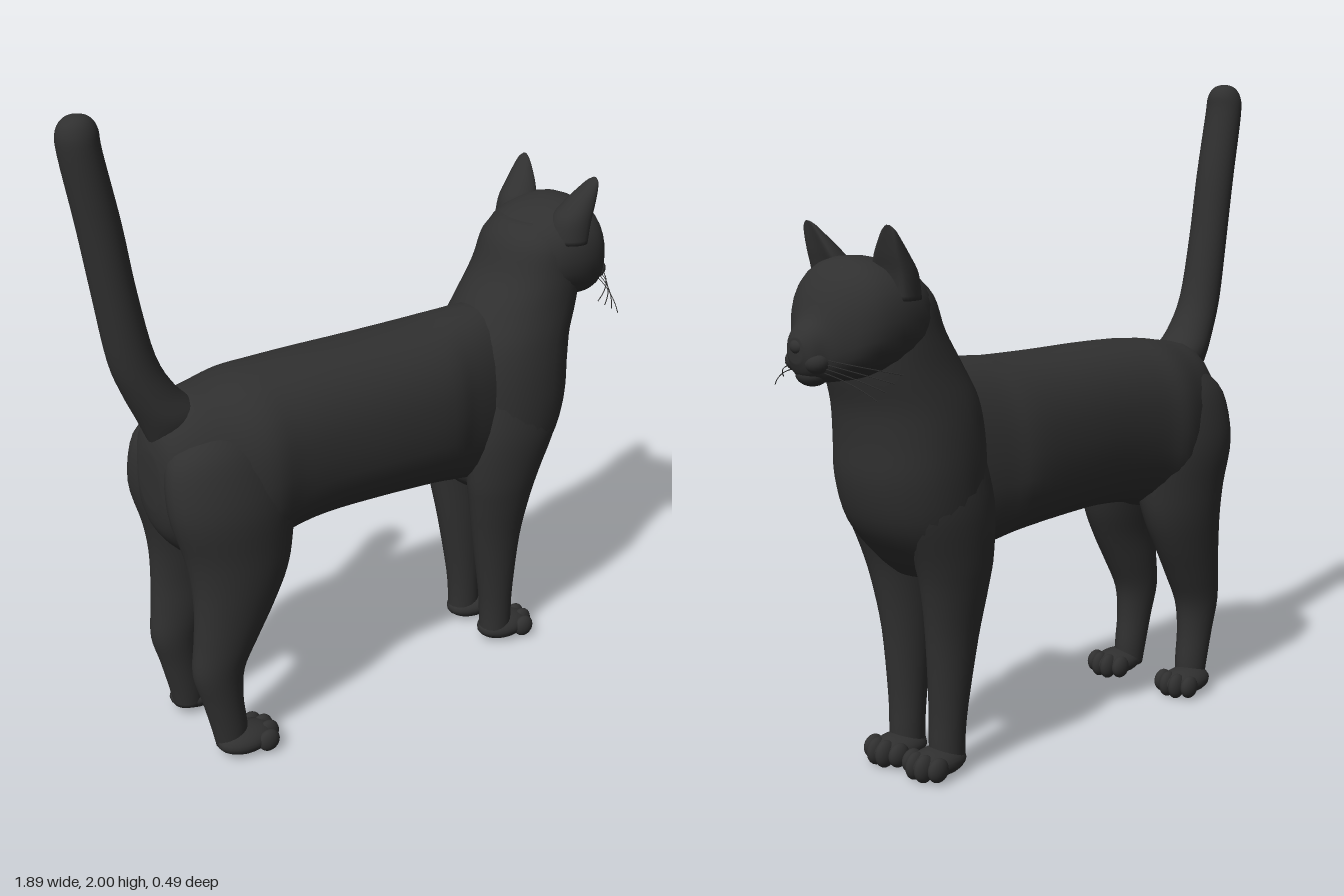
import * as THREE from 'three';

const fur = new THREE.MeshStandardMaterial({ color: 0x303030 });
fur.name = 'black fur';
const dark = new THREE.MeshStandardMaterial({ color: 0x242424 });
dark.name = 'dark eyes';

// smooth interpolation between the given cross-sections
function refine(rows, steps) {
  const out = [], last = rows.length - 1;
  for (let i = 0; i < last; i++) {
    const p = rows[Math.max(i - 1, 0)], a = rows[i], b = rows[i + 1], q = rows[Math.min(i + 2, last)];
    for (let s = 0; s < steps; s++) {
      const t = s / steps;
      out.push(a.map((v, k) => {
        const m0 = (b[k] - p[k]) / 2, m1 = (q[k] - v) / 2, d = b[k] - v;
        return v + m0 * t + (3 * d - 2 * m0 - m1) * t * t + (m0 + m1 - 2 * d) * t * t * t;
      }));
    }
  }
  out.push(rows[last]);
  return out;
}

// rows: [position on axis, min, max, centre z, half width]; axis 'x' spans y, axis 'y' spans x
function loft(name, axis, rows, { power = 2, dent = 0, sides = 28, steps = 4 } = {}) {
  const pos = [], idx = [], secs = refine(rows, steps);
  const round = v => Math.sign(v) * Math.abs(v) ** (2 / power);
  const put = (s, across, z) => (axis === 'x' ? pos.push(s, across, z) : pos.push(across, s, z));
  for (const [s, lo, hi, zc, hw] of secs) {
    for (let j = 0; j < sides; j++) {
      const a = j / sides * Math.PI * 2, c = round(Math.cos(a));
      const hollow = c > 0 ? dent * (hi - lo) * c * c : 0;
      put(s, (lo + hi) / 2 + c * (hi - lo) / 2 - hollow, zc + (axis === 'x' ? -1 : 1) * hw * round(Math.sin(a)));
    }
  }
  const n = secs.length;
  for (let i = 0; i < n - 1; i++) for (let j = 0; j < sides; j++) {
    const k = (j + 1) % sides, a = i * sides, b = a + sides;
    idx.push(a + j, b + j, a + k, a + k, b + j, b + k);
  }
  // end caps
  for (const [i, flip] of [[0, false], [n - 1, true]]) {
    const [s, lo, hi, zc] = secs[i], c = pos.length / 3;
    put(s, (lo + hi) / 2 - dent * (hi - lo) / 4, zc);
    for (let j = 0; j < sides; j++) {
      const a = i * sides + j, b = i * sides + (j + 1) % sides;
      flip ? idx.push(c, b, a) : idx.push(c, a, b);
    }
  }
  const g = new THREE.BufferGeometry();
  g.setAttribute('position', new THREE.Float32BufferAttribute(pos, 3));
  g.setIndex(idx);
  g.computeVertexNormals();
  const m = new THREE.Mesh(g, fur);
  m.name = name;
  return m;
}

function ball(name, p, r, mat = fur) {
  const m = new THREE.Mesh(new THREE.SphereGeometry(1, 20, 14), mat);
  m.name = name;
  m.position.set(...p);
  m.scale.set(...r);
  return m;
}

// rounded foot with four toes
function paw(name, x, z, side) {
  const g = new THREE.Group();
  g.name = name;
  g.add(ball('footPad', [x, 0.043, z * side], [0.095, 0.043, 0.066]));
  for (let i = 0; i < 4; i++) {
    const u = i - 1.5, inner = Math.abs(u) < 1;
    g.add(ball('toe', [x + (inner ? 0.07 : 0.05), 0.041, (z + u * 0.037) * side], [0.036, inner ? 0.041 : 0.036, 0.022]));
  }
  return g;
}

export function createModel() {
  const cat = new THREE.Group();
  cat.name = 'cat';

  // torso from rump to shoulders
  cat.add(loft('torso', 'x', [
    [-0.742, 0.83, 1.0, 0, 0.06], [-0.72, 0.74, 1.08, 0, 0.12], [-0.65, 0.66, 1.15, 0, 0.17],
    [-0.55, 0.63, 1.17, 0, 0.212], [-0.45, 0.63, 1.185, 0, 0.238], [-0.35, 0.66, 1.19, 0, 0.225],
    [-0.2, 0.675, 1.192, 0, 0.218], [0, 0.67, 1.19, 0, 0.218], [0.2, 0.655, 1.192, 0, 0.213],
    [0.3, 0.635, 1.2, 0, 0.188], [0.4, 0.62, 1.205, 0, 0.165], [0.5, 0.66, 1.2, 0, 0.14]], { power: 2.3 }));

  // chest rising into the neck
  cat.add(loft('chestAndNeck', 'y', [
    [0.59, 0.38, 0.56, 0, 0.1], [0.64, 0.345, 0.61, 0, 0.17], [0.75, 0.33, 0.70, 0, 0.205],
    [0.88, 0.325, 0.742, 0, 0.217], [1.0, 0.33, 0.747, 0, 0.215], [1.1, 0.35, 0.757, 0, 0.205],
    [1.2, 0.405, 0.785, 0, 0.19], [1.3, 0.47, 0.79, 0, 0.18], [1.4, 0.51, 0.78, 0, 0.165],
    [1.46, 0.56, 0.74, 0, 0.11]], { power: 2.15 }));

  // head tapering to the muzzle
  cat.add(loft('head', 'x', [
    [0.53, 1.32, 1.41, 0, 0.05], [0.56, 1.25, 1.455, 0, 0.13], [0.62, 1.2, 1.49, 0, 0.178],
    [0.7, 1.185, 1.512, 0, 0.195], [0.77, 1.18, 1.51, 0, 0.187], [0.82, 1.18, 1.482, 0, 0.16],
    [0.86, 1.18, 1.43, 0, 0.115], [0.89, 1.185, 1.365, 0, 0.078], [0.92, 1.205, 1.33, 0, 0.055],
    [0.936, 1.24, 1.305, 0, 0.03]], { power: 2.25 }));
  cat.add(ball('chin', [0.88, 1.205, 0], [0.042, 0.033, 0.05]));
  cat.add(ball('nose', [0.928, 1.283, 0], [0.017, 0.02, 0.025]));

  // upright tail with a rounded tip
  cat.add(loft('tail', 'y', [
    [1.0, -0.72, -0.58, 0, 0.05], [1.1, -0.762, -0.56, 0, 0.085], [1.19, -0.803, -0.645, 0, 0.075],
    [1.3, -0.842, -0.706, 0, 0.066], [1.5, -0.875, -0.752, 0, 0.063], [1.7, -0.907, -0.785, 0, 0.062],
    [1.9, -0.943, -0.826, 0, 0.06], [1.96, -0.943, -0.833, 0, 0.053], [1.99, -0.922, -0.852, 0, 0.034],
    [2.0, -0.895, -0.88, 0, 0.007]]));

  for (const s of [1, -1]) {
    const side = s > 0 ? 'left' : 'right';
    const legRows = rows => rows.map(([y, a, b, z, w]) => [y, a, b, z * s, w]);

    cat.add(loft(side + 'FrontLeg', 'y', legRows([
      [0.03, 0.43, 0.54, 0.087, 0.05], [0.1, 0.43, 0.54, 0.087, 0.052], [0.2, 0.42, 0.54, 0.089, 0.056],
      [0.4, 0.385, 0.555, 0.096, 0.067], [0.55, 0.357, 0.58, 0.108, 0.08], [0.65, 0.342, 0.61, 0.114, 0.09],
      [0.8, 0.34, 0.67, 0.116, 0.1], [0.95, 0.37, 0.68, 0.11, 0.09]])));
    cat.add(paw(side + 'FrontPaw', 0.52, 0.085, s));

    cat.add(loft(side + 'HindLeg', 'y', legRows([
      [0.03, -0.63, -0.53, 0.135, 0.045], [0.1, -0.645, -0.53, 0.134, 0.05], [0.2, -0.67, -0.54, 0.133, 0.054],
      [0.3, -0.697, -0.53, 0.132, 0.062], [0.4, -0.69, -0.48, 0.134, 0.073], [0.5, -0.684, -0.425, 0.136, 0.084],
      [0.6, -0.686, -0.378, 0.132, 0.1], [0.7, -0.703, -0.355, 0.126, 0.113], [0.85, -0.743, -0.345, 0.122, 0.122],
      [1.0, -0.73, -0.37, 0.1, 0.11], [1.08, -0.65, -0.43, 0.08, 0.08]])));
    cat.add(paw(side + 'HindPaw', -0.54, 0.15, s));

    // ear hollowed on its front face
    cat.add(loft(side + 'Ear', 'y', legRows([
      [1.4, 0.62, 0.77, 0.125, 0.072], [1.47, 0.635, 0.775, 0.13, 0.068], [1.52, 0.672, 0.775, 0.142, 0.054],
      [1.565, 0.712, 0.768, 0.157, 0.036], [1.59, 0.735, 0.762, 0.165, 0.022],
      [1.602, 0.75, 0.757, 0.168, 0.006]]), { dent: 0.35 }));

    // face details
    cat.add(ball(side + 'Muzzle', [0.893, 1.242, 0.036 * s], [0.037, 0.034, 0.042]));
    const eye = ball(side + 'Eye', [0.85, 1.37, 0.083 * s], [0.014, 0.02, 0.03], dark);
    eye.rotation.y = -0.75 * s;
    cat.add(eye);

    // whiskers sweeping outward and down
    for (let i = 0; i < 4; i++) {
      const curve = new THREE.QuadraticBezierCurve3(
        new THREE.Vector3(0.89, 1.25 - i * 0.012, 0.065 * s),
        new THREE.Vector3(0.87, 1.24 - i * 0.015, 0.16 * s),
        new THREE.Vector3(0.75 + i * 0.03, 1.21 - i * 0.02, 0.218 * s));
      const w = new THREE.Mesh(new THREE.TubeGeometry(curve, 10, 0.0015, 4), fur);
      w.name = side + 'Whisker';
      cat.add(w);
    }
  }
  return cat;
}
